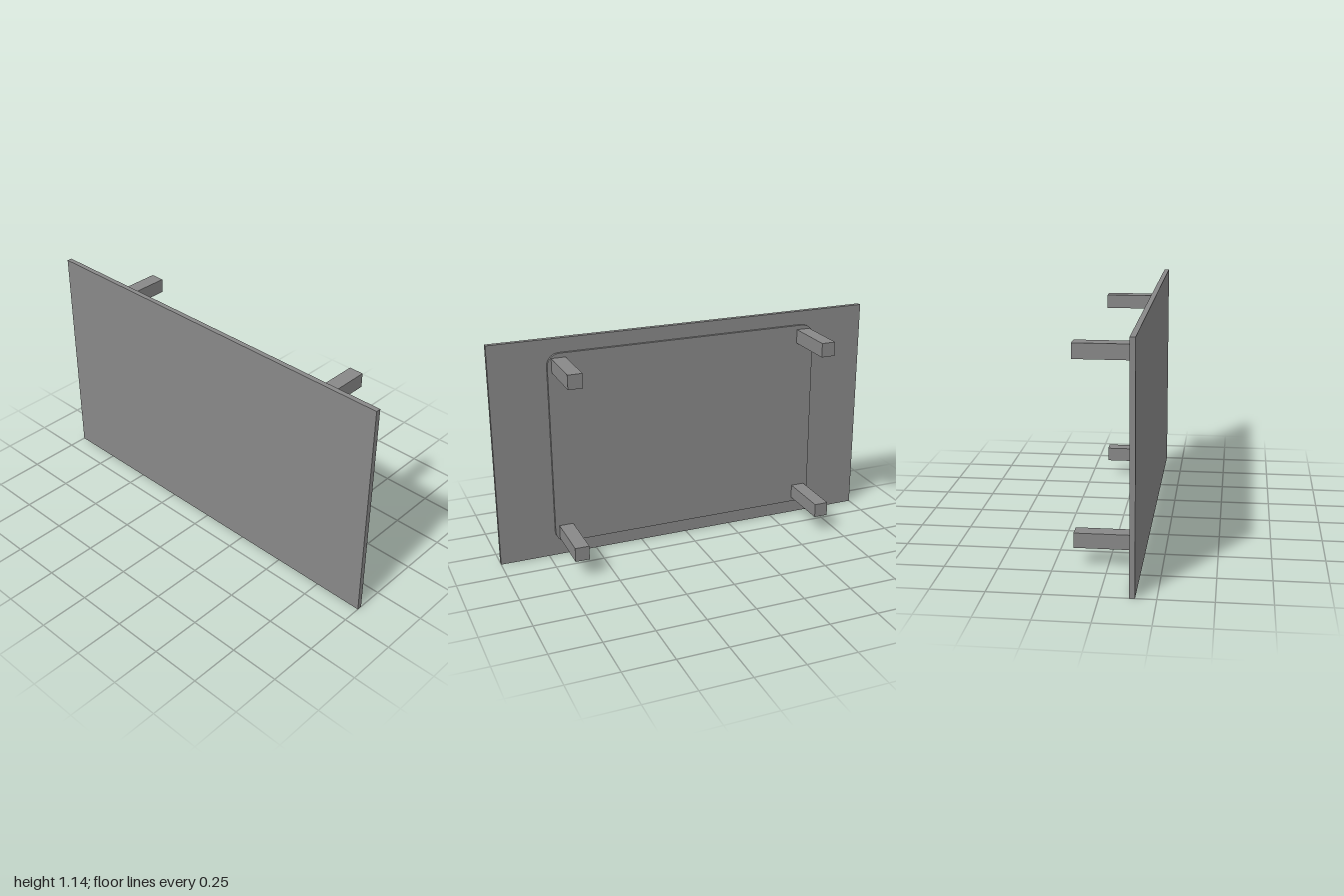
import * as THREE from 'three';

export function createModel() {
  const group = new THREE.Group();
  const material = new THREE.MeshStandardMaterial({ color: 0x888888, flatShading: true });

  const add = (name, geometry, x, y, z) => {
    const mesh = new THREE.Mesh(geometry, material);
    mesh.name = name;
    mesh.position.set(x, y, z);
    group.add(mesh);
  };

  // Thin front panel
  add('panel', new THREE.BoxGeometry(2, 1.143, 0.025), 0, 0.5715, 0.1435);

  // Backing plate with rounded corners
  const w = 0.714, h = 0.5, r = 0.063;
  const outline = new THREE.Shape();
  outline.absarc(w - r, h - r, r, 0, Math.PI / 2);
  outline.absarc(r - w, h - r, r, Math.PI / 2, Math.PI);
  outline.absarc(r - w, r - h, r, Math.PI, Math.PI * 1.5);
  outline.absarc(w - r, r - h, r, Math.PI * 1.5, Math.PI * 2);
  outline.closePath();
  const plate = new THREE.ExtrudeGeometry(outline, { depth: 0.014, bevelEnabled: false, curveSegments: 10 });
  add('backingPlate', plate, 0, 0.5715, 0.117);

  // Four square posts reaching backwards
  const post = new THREE.BoxGeometry(0.072, 0.072, 0.273);
  for (const [side, x] of [['right', -0.657], ['left', 0.657]]) {
    for (const [level, y] of [['Lower', 0.1305], ['Upper', 1.0135]]) {
      add(`${side}${level}Post`, post, x, y, -0.0195);
    }
  }
  return group;
}
